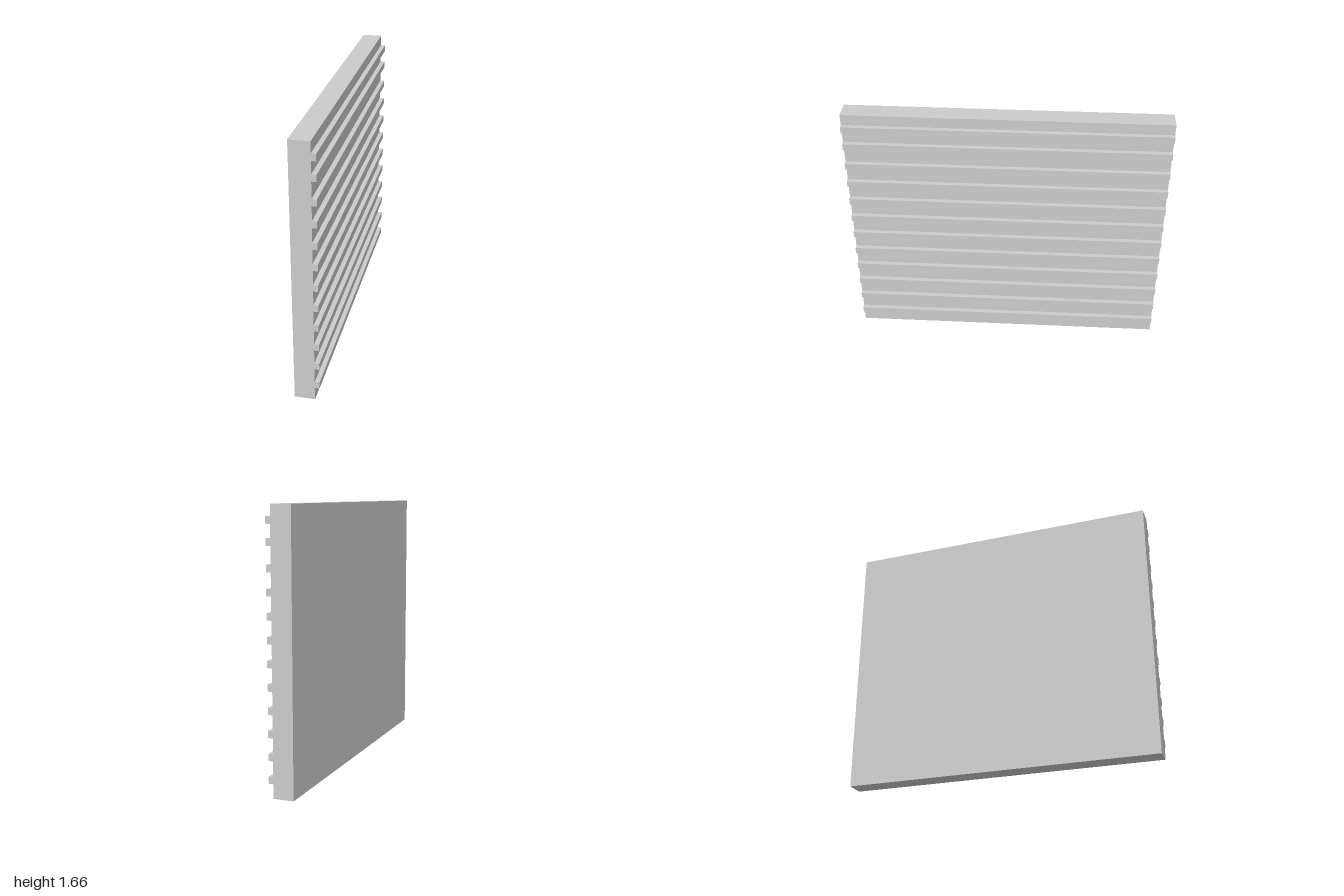
import * as THREE from 'three';

export function createModel() {
  const group = new THREE.Group();
  group.name = 'ribbedPanel';
  const material = new THREE.MeshStandardMaterial({ color: 0xcccccc, flatShading: true });

  const length = 2, height = 1.657;
  const back = -0.077, face = 0.048, ribFront = 0.077, ribHeight = 0.042;

  // Box given by its x and y extents, running the full length in z
  function addBar(name, x0, x1, y0, y1) {
    const mesh = new THREE.Mesh(new THREE.BoxGeometry(x1 - x0, y1 - y0, length), material);
    mesh.position.set((x0 + x1) / 2, (y0 + y1) / 2, 0);
    mesh.name = name;
    group.add(mesh);
  }

  // Flat backing slab
  addBar('slab', back, face, 0, height);

  // Ten evenly spaced ribs, then two closer to the top edge
  const centres = Array.from({ length: 10 }, (_, i) => 0.106 + i * 0.1333);
  centres.push(1.449, 1.568);
  centres.forEach((y, i) => {
    addBar(`rib${i + 1}`, face, ribFront, y - ribHeight / 2, y + ribHeight / 2);
  });

  return group;
}
